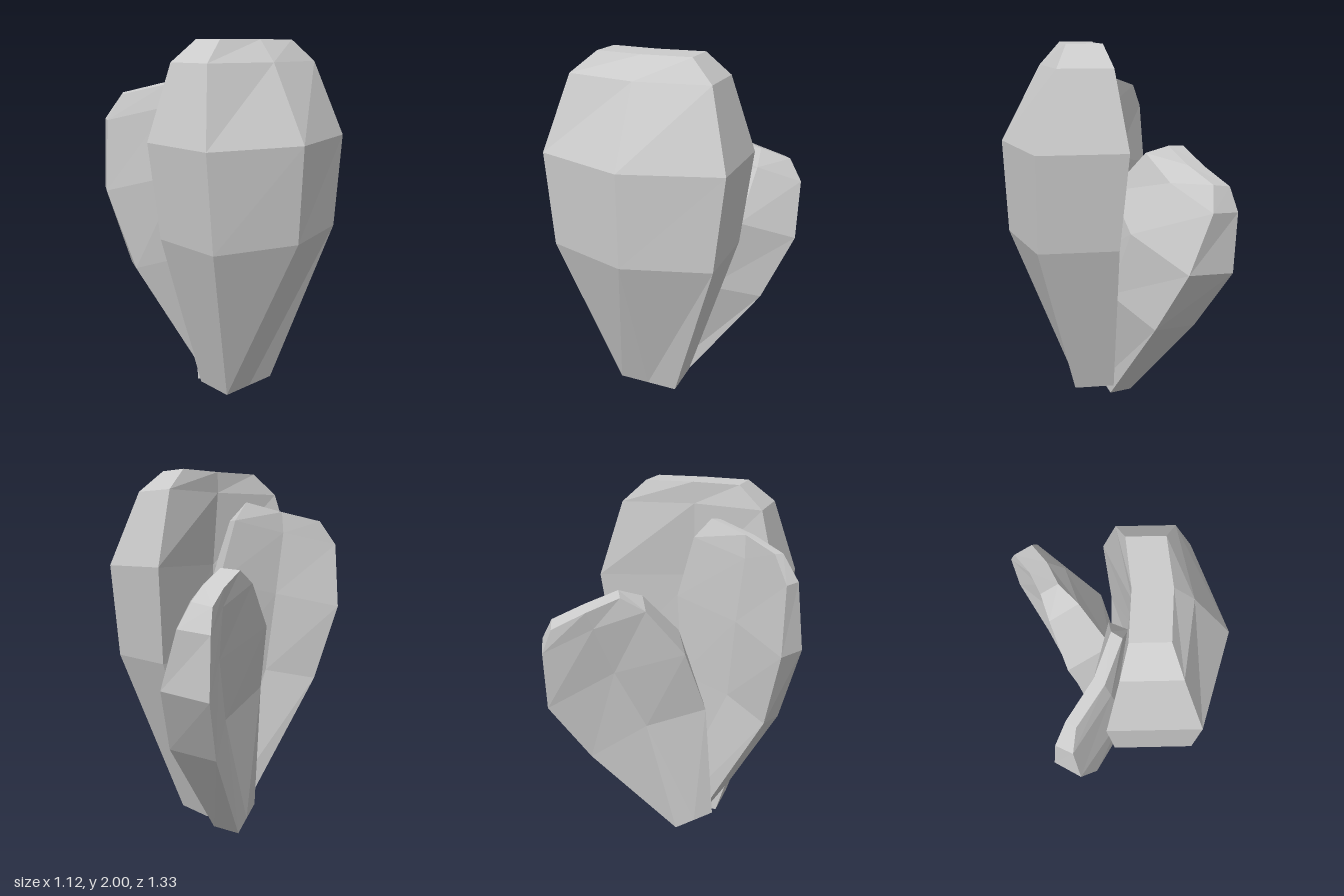
import * as THREE from 'three';

const material = new THREE.MeshStandardMaterial({ color: 0xcccccc, flatShading: true });

// A thick curved pad lofted through five rings. Each ring lists its edge corners
// [outer A, outer B, inner B, inner A] and how far its middle bows along (nx, nz).
function pad(name, [nx, nz], rings) {
  const sections = rings.map(([a, b, c, d, bow]) => {
    const mid = (p, q) => [(p[0] + q[0]) / 2 + nx * bow, (p[1] + q[1]) / 2, (p[2] + q[2]) / 2 + nz * bow];
    return [a, mid(a, b), b, c, mid(c, d), d];
  });
  const index = [];
  const quad = (a, b, c, d) => index.push(a, b, c, a, c, d);

  // Sides
  const last = sections.length - 1;
  for (let r = 0; r < last; r++) {
    for (let i = 0; i < 6; i++) {
      const j = (i + 1) % 6;
      quad(r * 6 + i, r * 6 + j, r * 6 + 6 + j, r * 6 + 6 + i);
    }
  }
  // Top and bottom caps, split along the fold
  const t = last * 6;
  quad(t, t + 1, t + 4, t + 5);
  quad(t + 1, t + 2, t + 3, t + 4);
  quad(5, 4, 1, 0);
  quad(4, 3, 2, 1);

  let geometry = new THREE.BufferGeometry();
  geometry.setAttribute('position', new THREE.Float32BufferAttribute(sections.flat(2), 3));
  geometry.setIndex(index);
  geometry = geometry.toNonIndexed();
  geometry.computeVertexNormals();
  const mesh = new THREE.Mesh(geometry, material);
  mesh.name = name;
  return mesh;
}

export function createModel() {
  const group = new THREE.Group();
  group.name = 'padCluster';

  // Large upright pad: y, front z, back z, inner x, outer x, bow
  const large = [
    [0.10, 0.19, -0.15, -0.02, 0.20, 0],
    [1.00, 0.46, -0.43, -0.01, 0.40, 0.14],
    [1.50, 0.50, -0.48, -0.05, 0.40, 0.16],
    [1.89, 0.39, -0.36, 0.01, 0.285, 0.065],
    [2.00, 0.26, -0.24, 0.05, 0.23, 0.02],
  ].map(([y, zf, zb, xi, xo, bow]) => [[xo, y, zf], [xo, y, zb], [xi, y, zb], [xi, y, zf], bow]);
  group.add(pad('largePad', [1, 0], large));

  // Thin pad spreading to the front
  group.add(pad('frontPad', [0.906, 0.424], [
    [[0.01, 0.15, 0.18], [0.11, 0.2, -0.03], [0.03, 0.2, -0.06], [-0.06, 0.15, 0.145], 0],
    [[-0.11, 0.84, 0.55], [0.11, 0.95, 0.03], [0, 0.95, -0.03], [-0.22, 0.84, 0.5], 0.05],
    [[-0.18, 1.26, 0.665], [0.13, 1.41, 0.01], [-0.01, 1.41, -0.05], [-0.31, 1.26, 0.59], 0.07],
    [[-0.2, 1.61, 0.63], [0.06, 1.74, 0.09], [-0.03, 1.74, 0.05], [-0.28, 1.61, 0.59], 0.05],
    [[-0.18, 1.735, 0.545], [0.03, 1.83, 0.17], [-0.02, 1.84, 0.14], [-0.225, 1.74, 0.515], 0.025],
  ]));

  // Short pad leaning out to the back
  group.add(pad('backPad', [0.87, -0.5], [
    [[0.07, 0.1, 0.09], [-0.01, 0.02, -0.09], [-0.14, 0, -0.02], [-0.06, 0.1, 0.18], 0],
    [[0.08, 0.82, 0.05], [-0.18, 0.6, -0.52], [-0.41, 0.57, -0.41], [-0.13, 0.82, 0.155], 0.08],
    [[-0.02, 1.22, -0.04], [-0.31, 0.94, -0.665], [-0.555, 0.91, -0.57], [-0.25, 1.18, 0.08], 0.11],
    [[-0.18, 1.45, -0.18], [-0.42, 1.24, -0.65], [-0.565, 1.22, -0.57], [-0.33, 1.42, -0.1], 0.05],
    [[-0.28, 1.5, -0.27], [-0.435, 1.36, -0.577], [-0.53, 1.34, -0.53], [-0.37, 1.49, -0.22], 0.015],
  ]));

  return group;
}
